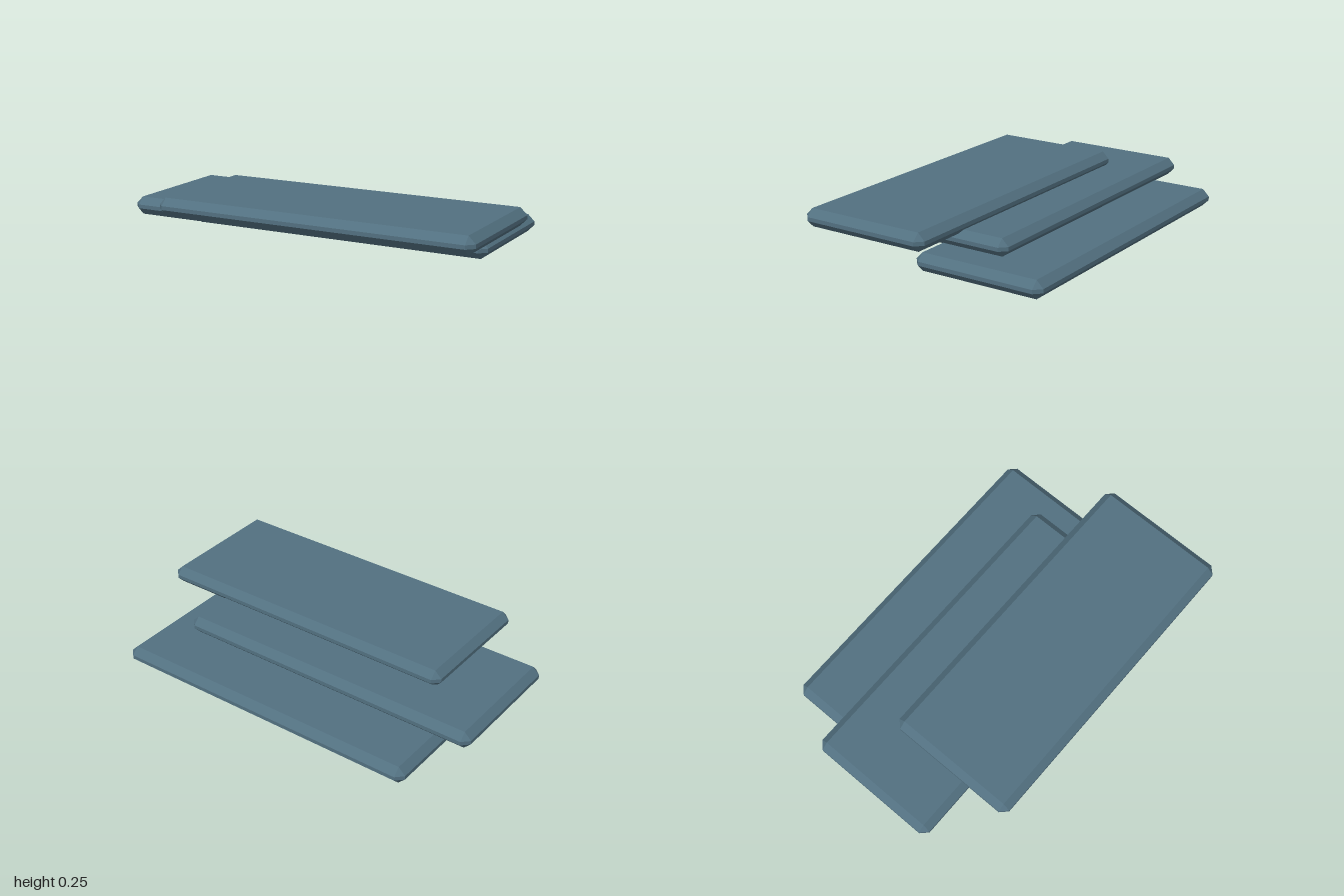
import * as THREE from 'three';
import { ConvexGeometry } from 'three/addons/geometries/ConvexGeometry.js';

// Box with every edge bevelled and every corner cut to a triangle
function bevelledSlab(w, h, d, bevel) {
  const points = [];
  for (const sx of [-1, 1]) for (const sy of [-1, 1]) for (const sz of [-1, 1]) {
    const x = w / 2 - bevel, y = h / 2 - bevel, z = d / 2 - bevel;
    points.push(
      new THREE.Vector3(sx * (x + bevel), sy * y, sz * z),
      new THREE.Vector3(sx * x, sy * (y + bevel), sz * z),
      new THREE.Vector3(sx * x, sy * y, sz * (z + bevel))
    );
  }
  return new ConvexGeometry(points);
}

export function createModel() {
  const model = new THREE.Group();
  model.name = 'slabStack';

  const slate = new THREE.MeshStandardMaterial({ color: 0x527080 });
  slate.name = 'slateBlue';

  const geometry = bevelledSlab(1.684, 0.092, 0.707, 0.036);

  // Three slabs, each shifted forward over the one below
  const slabs = [
    ['bottomSlab', 0.003, 0.046, -0.267],
    ['middleSlab', -0.158, 0.134, 0.03],
    ['topSlab', 0.158, 0.207, 0.267],
  ];
  for (const [name, x, y, z] of slabs) {
    const slab = new THREE.Mesh(geometry, slate);
    slab.name = name;
    slab.position.set(x, y, z);
    model.add(slab);
  }
  return model;
}
